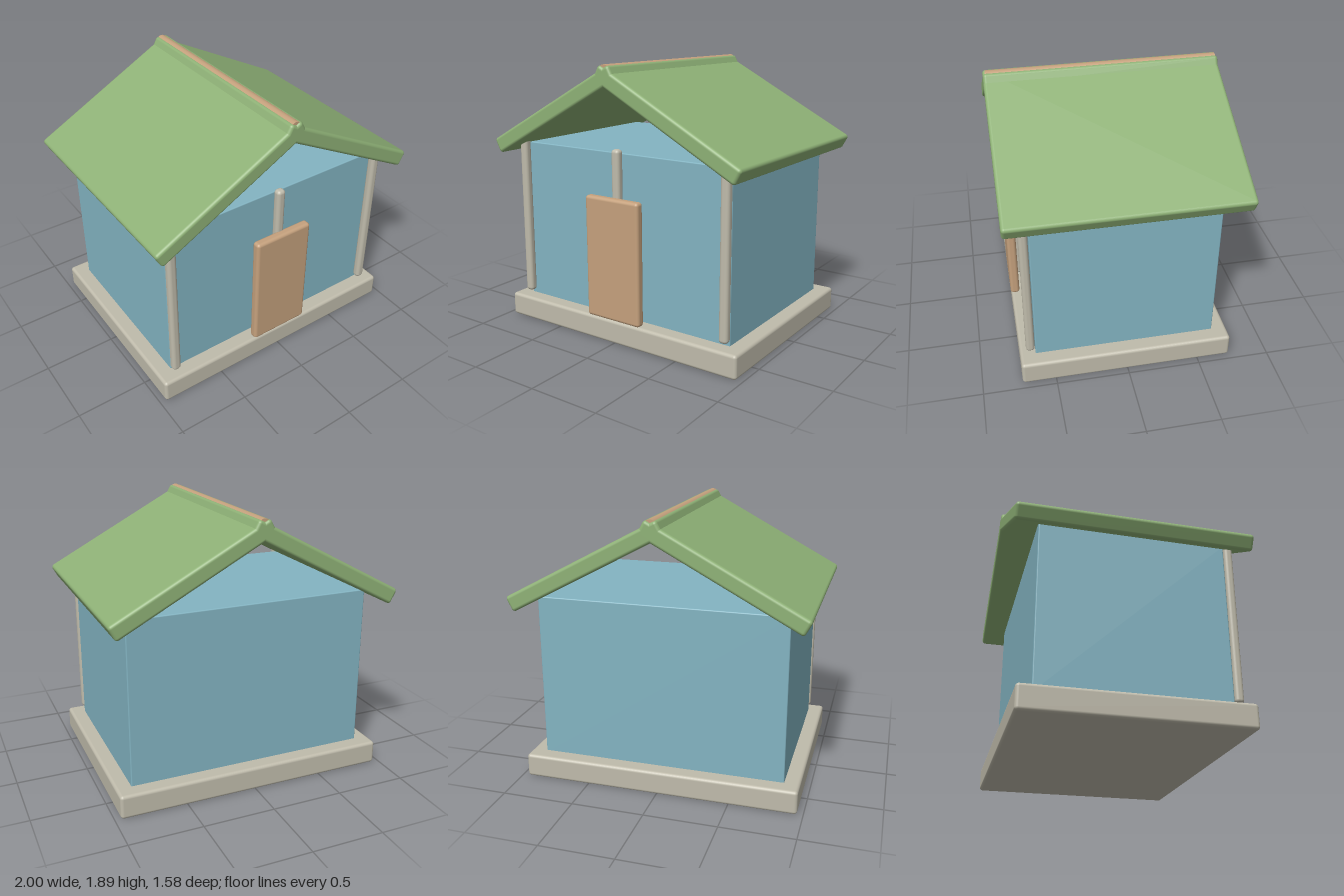
import * as THREE from 'three';
import { RoundedBoxGeometry } from 'three/addons/geometries/RoundedBoxGeometry.js';

function material(name, color) {
  const m = new THREE.MeshStandardMaterial({ color });
  m.name = name;
  return m;
}

export function createModel() {
  const stone = material('stone', 0xbfbbab);
  const blue = material('wall blue', 0x83b4c2);
  const wood = material('wood', 0xc5a17d);
  const green = material('roof green', 0x8eb176);

  const model = new THREE.Group();
  model.name = 'house';

  // Softly rounded block, placed by its centre
  function block(name, mat, size, pos, radius) {
    const mesh = new THREE.Mesh(new RoundedBoxGeometry(...size, 4, radius), mat);
    mesh.name = name;
    mesh.position.set(...pos);
    model.add(mesh);
    return mesh;
  }

  // Foundation, walls and door
  block('foundation', stone, [1.92, 0.165, 1.46], [0, 0.0825, 0], 0.022);
  block('walls', blue, [1.71, 1.155, 1.247], [0, 0.7275, 0], 0.008);
  block('door', wood, [0.44, 0.85, 0.065], [0, 0.59, 0.7025], 0.022);

  // Three front posts
  for (const [name, x] of [['rightPost', -0.834], ['middlePost', 0], ['leftPost', 0.834]]) {
    block(name, stone, [0.064, 1.14, 0.06], [x, 0.765, 0.6575], 0.024);
  }

  // Two roof slabs crossing at the ridge
  const pitch = 0.49, thickness = 0.111, length = 1.185;
  const midX = 0.4855; // middle of each slab's upper face
  const midY = 1.866 - midX * Math.tan(pitch);
  for (const side of [-1, 1]) {
    const slab = block(side < 0 ? 'rightRoofSlab' : 'leftRoofSlab', green,
      [length, thickness, 1.58],
      [side * (midX - Math.sin(pitch) * thickness / 2), midY - Math.cos(pitch) * thickness / 2, 0],
      0.022);
    slab.rotation.z = -side * pitch;
  }

  // Round ridge cap
  const cap = new THREE.Mesh(new THREE.CylinderGeometry(0.043, 0.043, 1.55, 24), wood);
  cap.name = 'ridgeCap';
  cap.rotation.x = Math.PI / 2;
  cap.position.y = 1.844;
  model.add(cap);

  return model;
}
